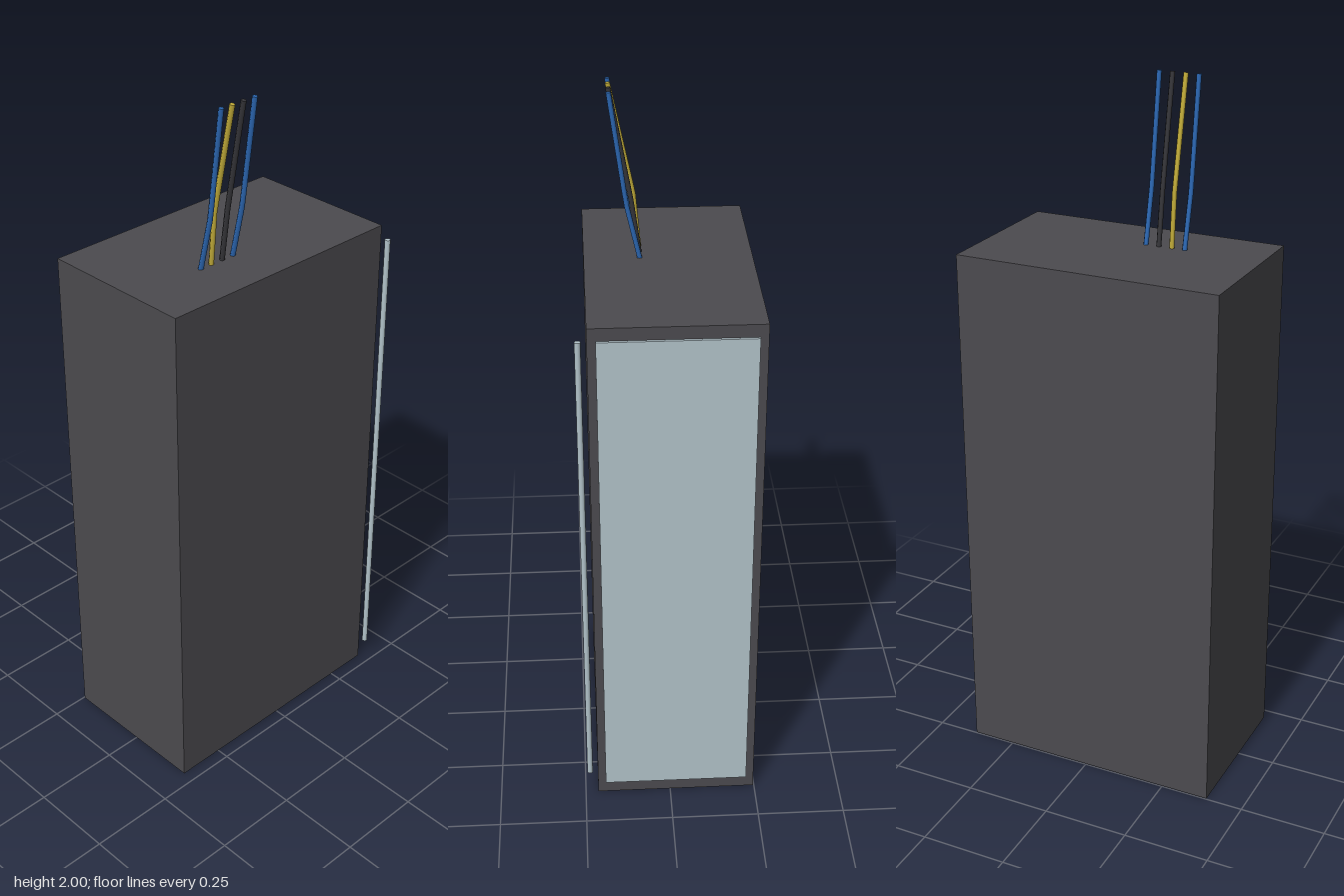
import * as THREE from 'three';

const mat = (name, color) => {
  const m = new THREE.MeshStandardMaterial({ color });
  m.name = name;
  return m;
};

export function createModel() {
  const group = new THREE.Group();
  const charcoal = mat('charcoal', 0x4c4b4f);
  const paleBlue = mat('pale blue grey', 0xb2c3ca);
  const blue = mat('blue', 0x2c68b4);
  const yellow = mat('yellow', 0xc4ae3a);
  const black = mat('black', 0x36363a);

  const add = (name, geometry, material, x = 0, y = 0, z = 0) => {
    const mesh = new THREE.Mesh(geometry, material);
    mesh.name = name;
    mesh.position.set(x, y, z);
    group.add(mesh);
    return mesh;
  };

  // Cabinet body with a glazed panel on one side
  add('cabinet', new THREE.BoxGeometry(0.768, 1.536, 0.46), charcoal, -0.006, 0.768, -0.017);
  add('sidePanel', new THREE.BoxGeometry(0.008, 1.46, 0.415), paleBlue, 0.382, 0.77, -0.017);

  // Slim vertical handle standing off the front corner
  add('handleRod', new THREE.CylinderGeometry(0.008, 0.008, 1.42, 12), paleBlue, 0.379, 0.79, 0.236);

  // Six-sided wires rising from the top, each with its own slight bow
  const wires = [
    ['leftBlueWire', -0.16, 0.097, blue],
    ['yellowWire', -0.122, 0.073, yellow],
    ['blackWire', -0.083, 0.081, black],
    ['rightBlueWire', -0.044, 0.095, blue],
  ];
  for (const [name, x, bow, material] of wires) {
    const points = [[1.53, 0.059], [1.69, bow], [2, 0.138]].map(([y, z]) => new THREE.Vector3(x, y, z));
    const radius = 0.0075;
    const path = new THREE.CurvePath();
    path.add(new THREE.LineCurve3(points[0], points[1]));
    path.add(new THREE.LineCurve3(points[1], points[2]));
    add(name, new THREE.TubeGeometry(path, 12, radius, 6), material);
    // Flat cap closing the upper end
    const cap = add(name + 'Cap', new THREE.CircleGeometry(radius, 6), material, x, 2, 0.138);
    cap.lookAt(points[2].clone().multiplyScalar(2).sub(points[1]));
  }
  return group;
}
